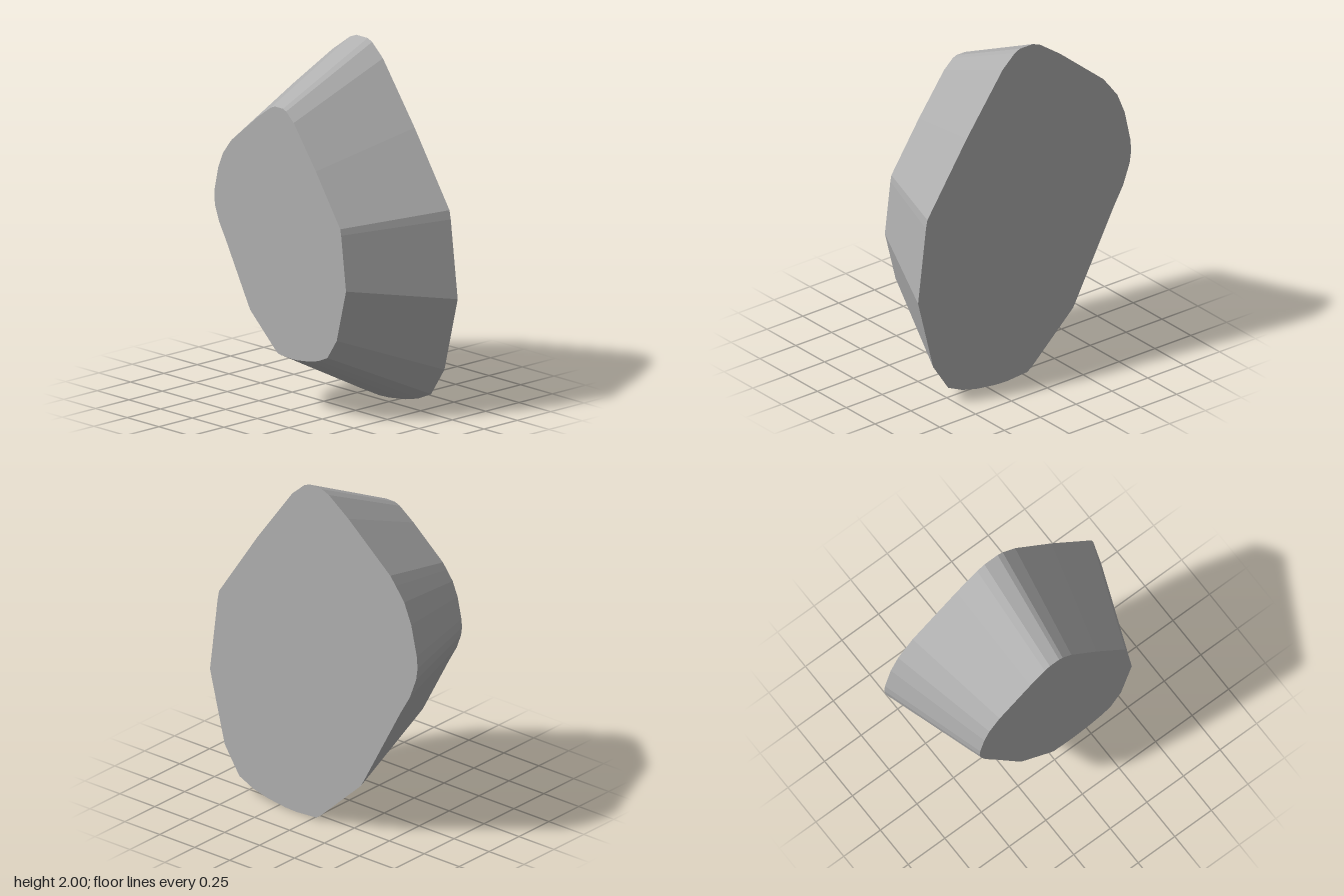
import * as THREE from 'three';

export function createModel() {
  const group = new THREE.Group();
  group.name = 'stone';

  const stoneGrey = new THREE.MeshStandardMaterial({ color: 0xb0b0b0, flatShading: true });
  stoneGrey.name = 'stone grey';

  // Outline of the large back face, clockwise from the top
  const outline = [
    [-0.06, 2], [0.03, 2], [0.065, 1.985], [0.15, 1.91], [0.4, 1.57],
    [0.675, 1.16], [0.685, 1.11], [0.74, 0.67], [0.635, 0.25], [0.53, 0.09],
    [0.43, 0.045], [0.33, 0.02], [0.2, 0.003], [0.12, 0], [-0.02, 0.01],
    [-0.05, 0.03], [-0.34, 0.3], [-0.36, 0.335], [-0.62, 0.82], [-0.69, 0.94],
    [-0.735, 1.06], [-0.745, 1.13], [-0.74, 1.2], [-0.7, 1.38], [-0.65, 1.5],
    [-0.59, 1.58], [-0.55, 1.63], [-0.25, 1.88], [-0.11, 1.98],
  ].map(([x, y]) => new THREE.Vector2(x, y));

  const depth = 0.6;
  const geometry = new THREE.ExtrudeGeometry(new THREE.Shape(outline), {
    depth, bevelEnabled: false, steps: 1,
  });
  geometry.translate(0, 0, -depth / 2);

  // Taper: shrink the front face to 70 percent of the back
  const pos = geometry.attributes.position;
  for (let i = 0; i < pos.count; i++) {
    if (pos.getZ(i) > 0) {
      pos.setX(i, pos.getX(i) * 0.7 - 0.028);
      pos.setY(i, pos.getY(i) * 0.7 + 0.31);
    }
  }
  geometry.computeVertexNormals();

  const body = new THREE.Mesh(geometry, stoneGrey);
  body.name = 'stoneBody';
  group.add(body);
  return group;
}
